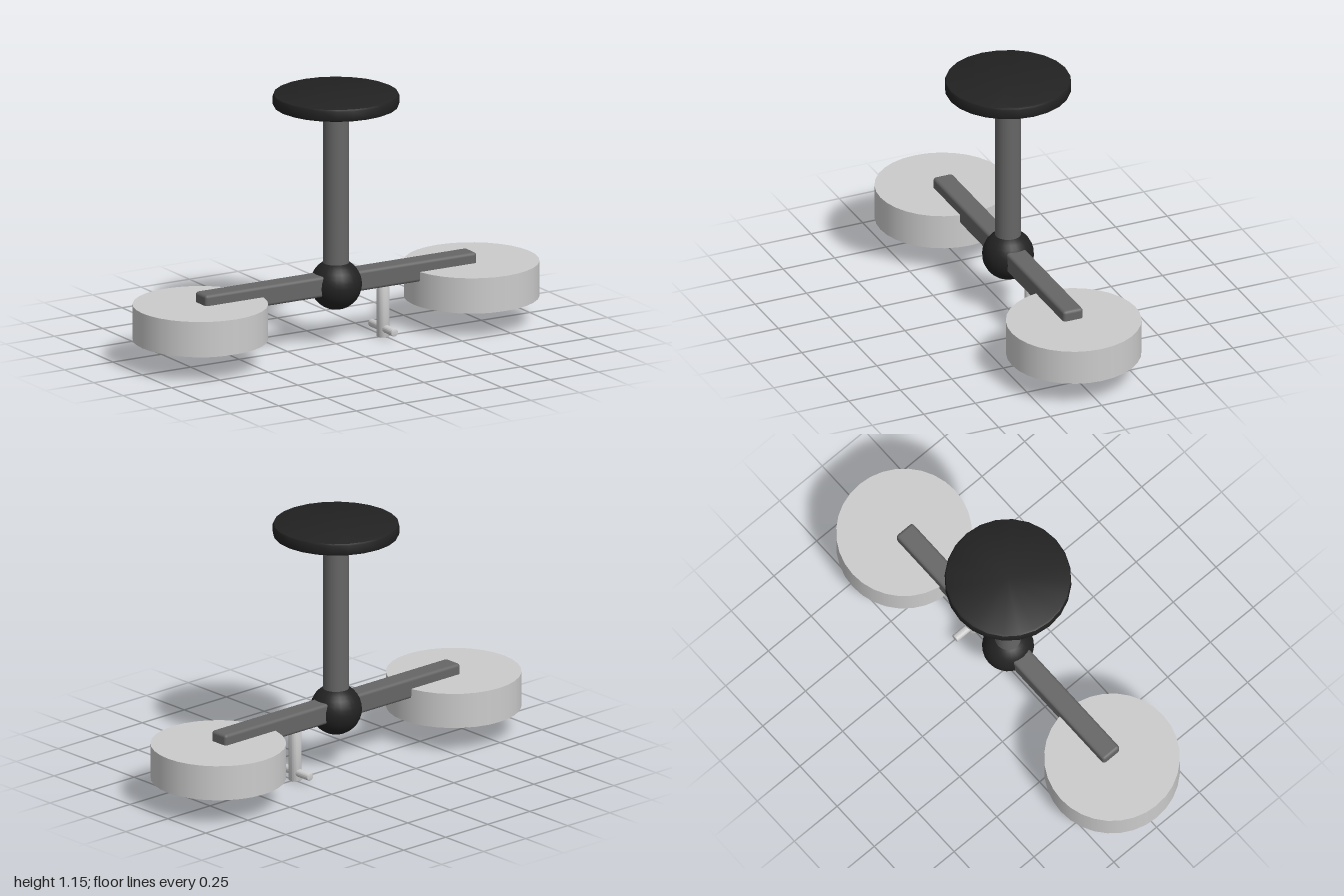
import * as THREE from 'three';
import { RoundedBoxGeometry } from 'three/addons/geometries/RoundedBoxGeometry.js';
import { toCreasedNormals } from 'three/addons/utils/BufferGeometryUtils.js';

const mat = (color) => new THREE.MeshStandardMaterial({ color });

// Cylinder with small bevelled rims, spanning y0 to y1
function bevelledDisc(radius, y0, y1, bevel, sides) {
  const profile = [
    [0, y0], [radius - bevel, y0], [radius - bevel * 0.3, y0 + bevel * 0.3], [radius, y0 + bevel],
    [radius, y1 - bevel], [radius - bevel * 0.3, y1 - bevel * 0.3], [radius - bevel, y1], [0, y1],
  ].map(([x, y]) => new THREE.Vector2(x, y));
  return toCreasedNormals(new THREE.LatheGeometry(profile, sides), 0.5);
}

export function createModel() {
  const model = new THREE.Group();
  const pale = mat(0xcccccc);
  const metal = mat(0x666666);
  const black = mat(0x222222);

  const add = (name, geometry, material, parent = model) => {
    const mesh = new THREE.Mesh(geometry, material);
    mesh.name = name;
    parent.add(mesh);
    return mesh;
  };
  const cylinder = (radius, y0, y1, sides) =>
    new THREE.CylinderGeometry(radius, radius, y1 - y0, sides).translate(0, (y0 + y1) / 2, 0);

  // Ceiling mount, stem and ball joint
  add('ceilingPlate', bevelledDisc(0.28, 1.09, 1.15, 0.012, 24), black);
  add('stem', cylinder(0.058, 0.28, 1.1, 24), metal);
  add('ballJoint', new THREE.SphereGeometry(0.115, 24, 16).translate(0, 0.275, 0), black);

  // Horizontal arm
  add('crossArm', new RoundedBoxGeometry(1.4, 0.094, 0.096, 2, 0.014).translate(0, 0.283, 0), metal);

  // Lamp heads at both ends
  for (const side of [-1, 1]) {
    const head = new THREE.Group();
    head.name = side > 0 ? 'leftLampHead' : 'rightLampHead';
    head.position.x = side * 0.7;
    add('housing', cylinder(0.3, 0.122, 0.282, 32), pale, head);
    add('lensSeat', cylinder(0.23, 0.115, 0.125, 32), black, head);
    add('lens', cylinder(0.26, 0.109, 0.117, 32), pale, head);
    model.add(head);
  }

  // Hanging handle with its grip bar
  const handle = new THREE.Group();
  handle.name = 'handle';
  handle.position.x = 0.243;
  add('handleStem', bevelledDisc(0.029, 0, 0.26, 0.004, 20), pale, handle);
  const grip = add('handleGrip', bevelledDisc(0.018, -0.1, 0.1, 0.003, 16), pale, handle);
  grip.rotation.x = Math.PI / 2;
  grip.position.y = 0.039;
  model.add(handle);

  return model;
}
